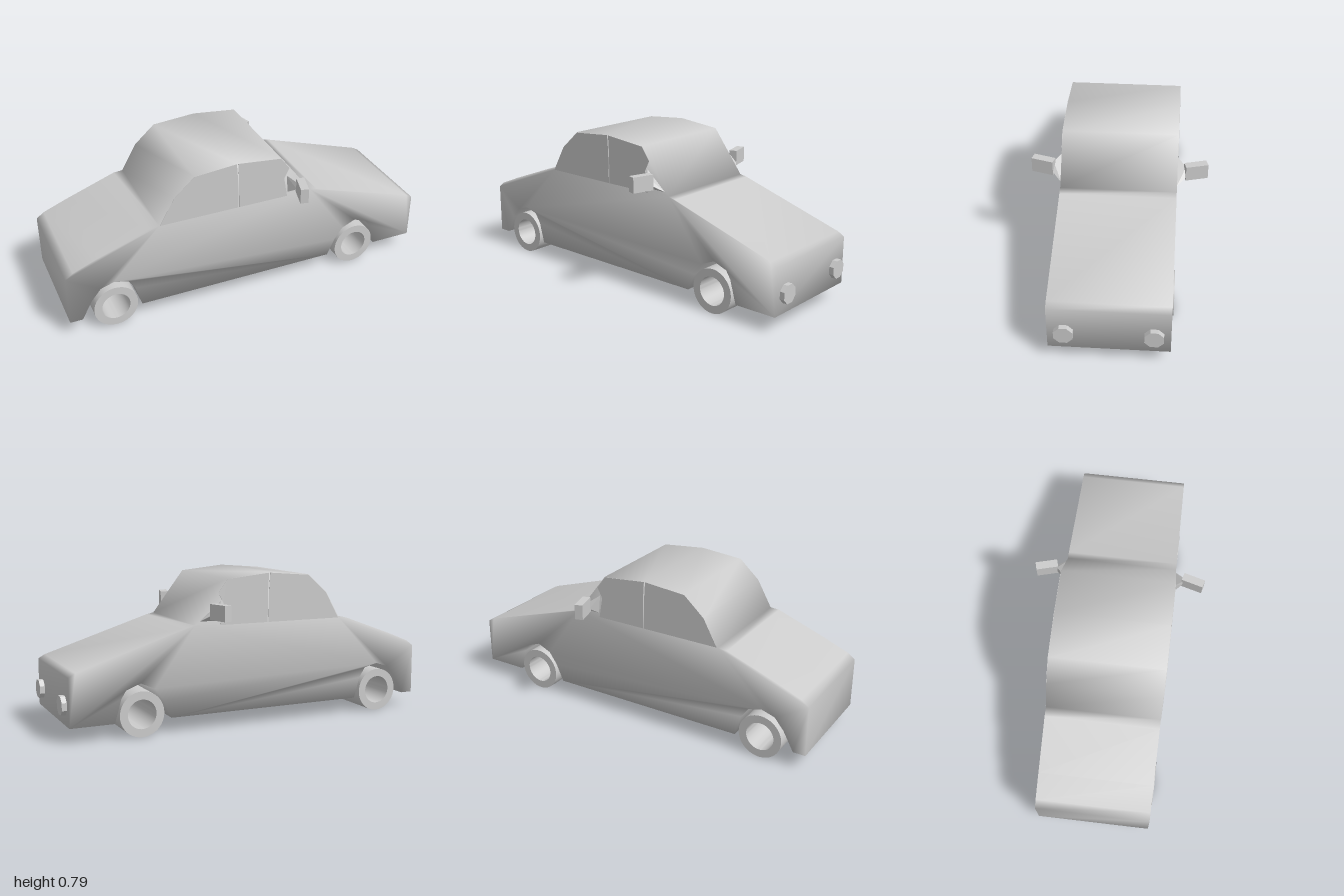
import * as THREE from 'three';
import { mergeVertices, toCreasedNormals } from 'three/addons/utils/BufferGeometryUtils.js';
import { ConvexGeometry } from 'three/addons/geometries/ConvexGeometry.js';

const material = new THREE.MeshStandardMaterial({ color: 0xcccccc });
const HALF_WIDTH = 0.295;

function add(parent, name, geometry, x = 0, y = 0, z = 0) {
  const mesh = new THREE.Mesh(geometry, material);
  mesh.name = name;
  mesh.position.set(x, y, z);
  parent.add(mesh);
  return mesh;
}

const shapeOf = (points) => new THREE.Shape(points.map(([x, y]) => new THREE.Vector2(x, y)));

// Extrusion along z, centred on z = 0
function slab(shape, depth) {
  const geometry = new THREE.ExtrudeGeometry(shape, { depth, bevelEnabled: false, curveSegments: 32 });
  return geometry.translate(0, 0, -depth / 2);
}

// One soft shell: shared vertices give blended normals over the edges
function softened(geometry) {
  geometry.deleteAttribute('normal');
  geometry.deleteAttribute('uv');
  const merged = mergeVertices(geometry, 1e-4);
  merged.computeVertexNormals();
  return merged;
}

export function createModel() {
  const car = new THREE.Group();
  car.name = 'car';

  // Body: side outline from the tail over the roof to the nose, then back through both wheel arches
  const roofline = [
    [-1, 0.08], [-1, 0.345], [-0.96, 0.375], [-0.83, 0.427], [-0.56, 0.526], [-0.51, 0.53],
    [-0.43, 0.67], [-0.32, 0.768], [-0.09, 0.787], [0.15, 0.763], [0.325, 0.535], [0.365, 0.527],
    [0.94, 0.345], [0.975, 0.325], [0.975, 0.08],
  ];
  const frontArch = [
    [0.75, 0.08], [0.715, 0.2], [0.69, 0.24], [0.615, 0.268], [0.54, 0.235], [0.495, 0.17], [0.455, 0.08],
  ];
  const rearArch = [
    [-0.62, 0.08], [-0.65, 0.19], [-0.685, 0.243], [-0.76, 0.262], [-0.83, 0.24], [-0.88, 0.18], [-0.935, 0.08],
  ];
  add(car, 'body', softened(slab(shapeOf([...roofline, ...frontArch, ...rearArch]), HALF_WIDTH * 2)));

  // Side windows: thin panes split by a narrow gap
  const rearPane = shapeOf([
    [-0.505, 0.53], [-0.428, 0.668], [-0.319, 0.765], [-0.094, 0.784], [-0.088, 0.7], [-0.086, 0.53],
  ]);
  const frontPane = shapeOf([
    [-0.08, 0.53], [-0.082, 0.7], [-0.087, 0.784], [0.149, 0.76], [0.198, 0.695], [0.17, 0.64], [0.19, 0.53],
  ]);
  for (const side of [1, -1]) {
    add(car, 'rearWindow', slab(rearPane, 0.003), 0, 0, side * HALF_WIDTH);
    add(car, 'frontWindow', slab(frontPane, 0.003), 0, 0, side * HALF_WIDTH);
  }

  // Wheels: open tubes running the full width
  const ring = new THREE.Shape().absarc(0, 0, 0.115, 0, Math.PI * 2);
  ring.holes.push(new THREE.Path().absarc(0, 0, 0.074, 0, Math.PI * 2, true));
  const wheel = toCreasedNormals(slab(ring, 0.606), 0.7);
  add(car, 'frontWheels', wheel, 0.612, 0.115, 0);
  add(car, 'rearWheels', wheel, -0.76, 0.115, 0);

  // Headlights: octagonal discs on the nose
  const lamp = new THREE.CylinderGeometry(0.05, 0.05, 0.035, 8).rotateY(Math.PI / 8).rotateZ(-Math.PI / 2);
  const lampGeometry = toCreasedNormals(lamp, 0.3);
  for (const side of [1, -1]) add(car, 'headlight', lampGeometry, 0.9825, 0.18, side * 0.215);

  // Door mirrors: tapered triangular mount carrying an angled box
  for (const side of [1, -1]) {
    const mirror = new THREE.Group();
    mirror.name = side > 0 ? 'leftFacingMirror' : 'rightFacingMirror';
    const mount = [
      [0.18, 0.655, 0.29], [0.19, 0.55, 0.29], [0.305, 0.55, 0.29],
      [0.225, 0.622, 0.337], [0.225, 0.583, 0.337], [0.262, 0.583, 0.337],
    ].map(([x, y, z]) => new THREE.Vector3(x, y, side * z));
    mirror.name = 'doorMirror';
    add(mirror, 'mirrorMount', new ConvexGeometry(mount));
    const box = add(mirror, 'mirrorHousing', new THREE.BoxGeometry(0.042, 0.08, 0.115), 0.228, 0.605, side * 0.388);
    box.rotation.y = -side * 0.27;
    car.add(mirror);
  }

  return car;
}
